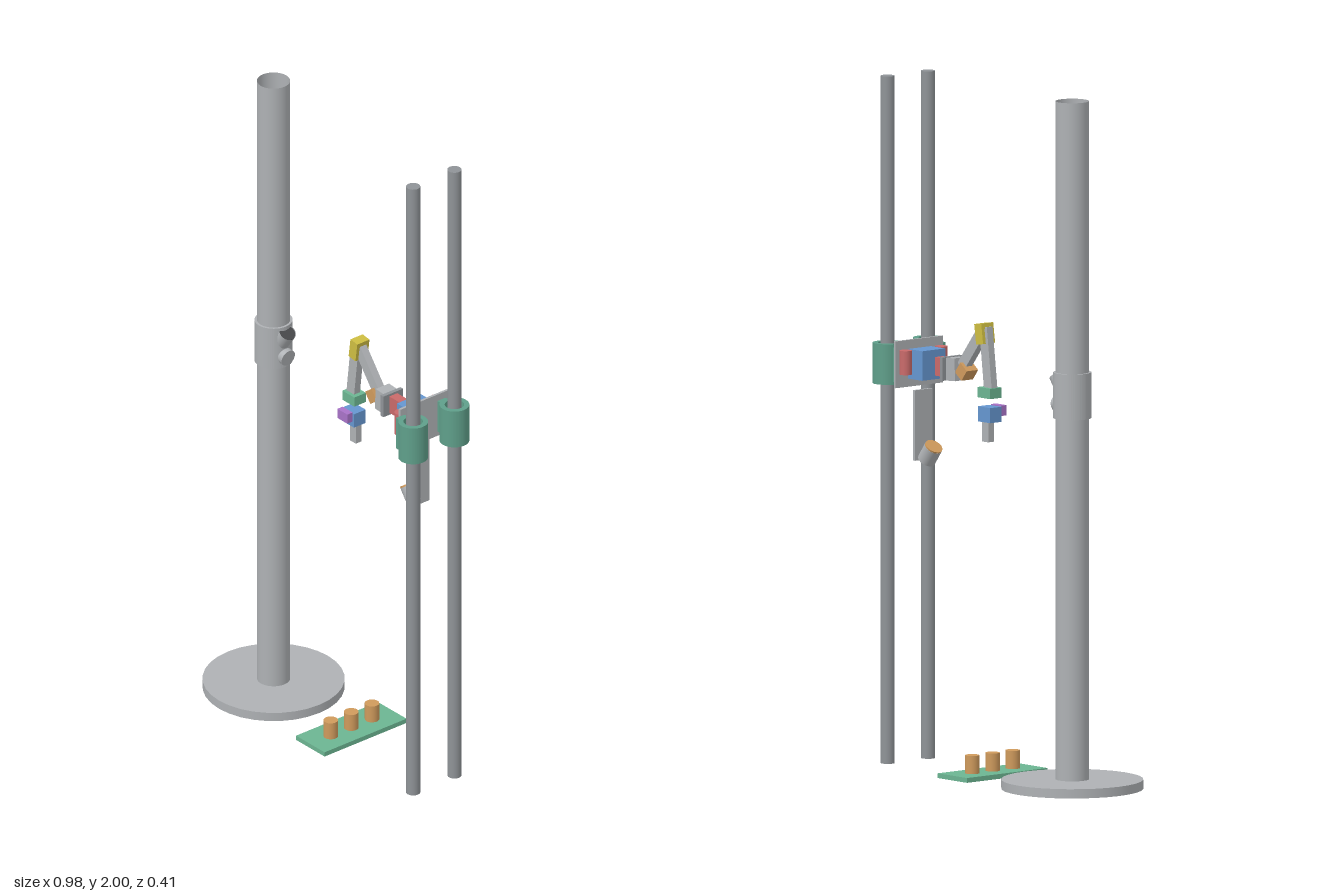
import * as THREE from 'three';

const mat = (name, color, side = THREE.FrontSide) => {
  const m = new THREE.MeshStandardMaterial({ color, side });
  m.name = name;
  return m;
};

export function createModel() {
  const root = new THREE.Group();
  root.name = 'towerTendingRobot';

  const grey = mat('lightGrey', 0xaeb1b4, THREE.DoubleSide);
  const steel = mat('steelGrey', 0x8f9397);
  const dark = mat('darkGrey', 0x48494b, THREE.DoubleSide);
  const trayGreen = mat('trayGreen', 0x6cb592);
  const teal = mat('bearingGreen', 0x5f9f8a);
  const blue = mat('blue', 0x6596cf);
  const red = mat('red', 0xc96a6a);
  const orange = mat('orange', 0xcf9a5c);
  const yellow = mat('yellow', 0xcdbd42);
  const purple = mat('purple', 0xa873c8);

  const add = (parent, name, geo, m, x, y, z, rz = 0) => {
    const mesh = new THREE.Mesh(geo, m);
    mesh.name = name;
    mesh.position.set(x, y, z);
    mesh.rotation.z = rz;
    parent.add(mesh);
    return mesh;
  };
  const group = (name) => {
    const g = new THREE.Group();
    g.name = name;
    root.add(g);
    return g;
  };
  const box = (w, h, d) => new THREE.BoxGeometry(w, h, d);
  const cyl = (r, h, n = 32, open = false) => new THREE.CylinderGeometry(r, r, h, n, 1, open);
  // Hollow sleeve with crisp edges, centred on its own axis
  const sleeve = (outer, inner, h) => {
    const s = new THREE.Shape().absarc(0, 0, outer, 0, Math.PI * 2, false);
    s.holes.push(new THREE.Path().absarc(0, 0, inner, 0, Math.PI * 2, true));
    const g = new THREE.ExtrudeGeometry(s, { depth: h, bevelEnabled: false, curveSegments: 32 });
    return g.translate(0, 0, -h / 2).rotateX(-Math.PI / 2);
  };
  // Bar between two points in the x-y plane
  const bar = (parent, name, m, a, b, width, depth) => {
    const dx = b[0] - a[0], dy = b[1] - a[1];
    return add(parent, name, box(Math.hypot(dx, dy), width, depth), m,
      (a[0] + b[0]) / 2, (a[1] + b[1]) / 2, 0, Math.atan2(dy, dx));
  };

  // Hollow tower on a round base
  const tower = group('tower');
  const tx = -0.288;
  add(tower, 'towerBase', cyl(0.205, 0.027), grey, tx, 0.0135, 0);
  add(tower, 'towerPipe', cyl(0.048, 1.973, 32, true), grey, tx, 1.0135, 0);
  add(tower, 'towerCollar', sleeve(0.055, 0.048, 0.133), grey, tx, 1.145, 0);
  // Tilted empty port with a dark inside, and the stub below it
  const port = new THREE.Group();
  port.name = 'port';
  port.position.set(-0.225, 1.196, 0);
  port.rotation.z = -0.62;
  tower.add(port);
  add(port, 'portCup', cyl(0.026, 0.06, 24, true), grey, 0, -0.03, 0);
  add(port, 'portInside', cyl(0.0245, 0.054, 24), dark, 0, -0.029, 0);
  add(tower, 'portStub', cyl(0.025, 0.04, 24), grey, -0.242, 1.115, 0, Math.PI / 2 - 0.15);

  // Seedling tray with three pots
  const tray = group('tray');
  add(tray, 'trayPlate', box(0.128, 0.014, 0.308), trayGreen, 0.059, 0.007, -0.001);
  for (const z of [-0.078, 0, 0.077])
    add(tray, 'pot', cyl(0.021, 0.053, 24), orange, 0.06, 0.04, z);

  // Two vertical rails with sliding bearings
  const rails = group('rails');
  for (const z of [-0.063, 0.092]) {
    add(rails, 'rail', cyl(0.0205, 2, 24), steel, 0.447, 1, z);
    add(rails, 'bearing', sleeve(0.043, 0.028, 0.118), teal, 0.447, 1.165, z);
    add(rails, 'bearingLug', box(0.026, 0.1, 0.03), teal, 0.4, 1.165, z);
  }

  // Carriage plate, shoulder motor and side rollers
  const carriage = group('carriage');
  add(carriage, 'carriagePlate', box(0.008, 0.136, 0.182), grey, 0.384, 1.168, 0);
  add(carriage, 'shoulderMotor', box(0.064, 0.086, 0.088), blue, 0.349, 1.167, 0);
  for (const z of [-0.068, 0.068])
    add(carriage, 'sideMotor', cyl(0.018, 0.07, 24), red, 0.362, 1.175, z);

  // Hanging bracket with a tilted plant holder
  const holder = group('plantHolder');
  add(holder, 'holderBracket', box(0.009, 0.205, 0.066), grey, 0.3655, 0.988, 0);
  const cup = new THREE.Group();
  cup.name = 'holderCup';
  cup.position.set(0.319, 0.926, 0);
  cup.rotation.z = 0.64;
  holder.add(cup);
  add(cup, 'cupBody', cyl(0.027, 0.05, 24), grey, 0, -0.025, 0);
  add(cup, 'plug', cyl(0.0265, 0.006, 24), orange, 0, 0.002, 0);

  // Articulated arm, from shoulder to wrist
  const arm = group('arm');
  add(arm, 'shoulderRoll', box(0.05, 0.054, 0.03), red, 0.269, 1.166, 0);
  add(arm, 'shoulderFlange', box(0.012, 0.068, 0.074), steel, 0.242, 1.166, 0);
  add(arm, 'shoulderBracket', box(0.042, 0.066, 0.05), grey, 0.218, 1.166, 0, -0.06);
  add(arm, 'upperArmMotor', box(0.036, 0.038, 0.044), orange, 0.174, 1.164, 0, 0.66);
  bar(arm, 'upperArm', grey, [0.1, 1.287], [0.187, 1.176], 0.034, 0.023);
  add(arm, 'forearmBar', box(0.034, 0.18, 0.022), grey, 0.079, 1.212, 0, -0.12);
  // Elbow fork: top bridge and two cheeks
  const elbow = new THREE.Group();
  elbow.name = 'elbow';
  elbow.position.set(0.095, 1.283, 0);
  elbow.rotation.z = -0.14;
  arm.add(elbow);
  add(elbow, 'elbowBridge', box(0.031, 0.016, 0.046), yellow, 0, 0.021, 0);
  for (const s of [-1, 1])
    add(elbow, 'elbowCheek', box(0.031, 0.045, 0.0105), yellow, 0, -0.008, s * 0.01775);

  // Wrist blocks and gripper
  const wrist = group('wrist');
  add(wrist, 'wristPitch', box(0.054, 0.03, 0.044), trayGreen, 0.073, 1.113, 0);
  add(wrist, 'wristRoll', box(0.053, 0.044, 0.044), blue, 0.072, 1.05, 0);
  add(wrist, 'wristMotor', box(0.045, 0.03, 0.02), purple, 0.069, 1.06, 0.031);
  add(wrist, 'gripper', box(0.027, 0.06, 0.022), grey, 0.08, 0.999, 0);

  return root;
}
